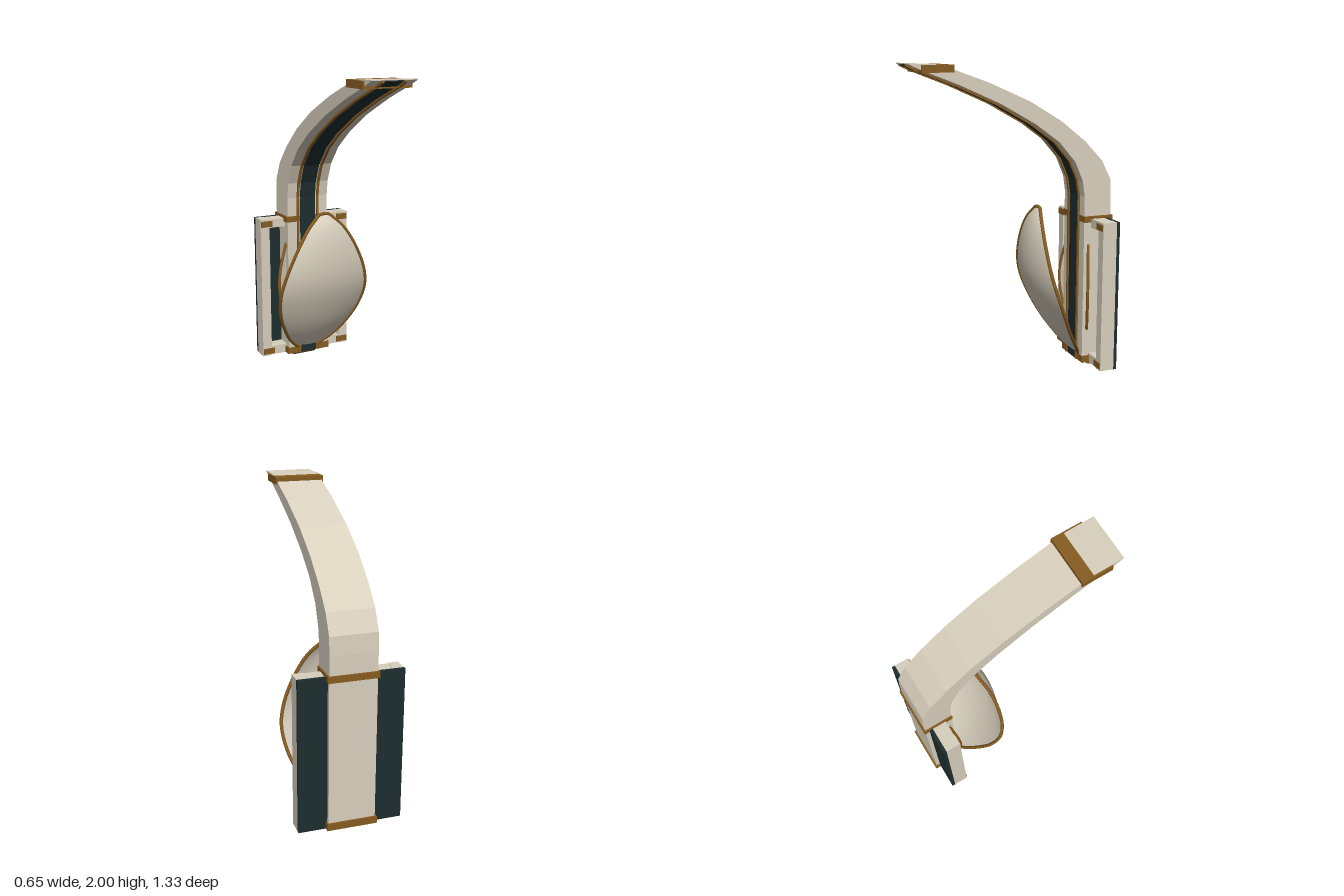
import * as THREE from 'three';

const mat = (name, color) => Object.assign(new THREE.MeshStandardMaterial({ color }), { name });

export function createModel() {
  const cream = mat('cream', 0xd9d0be);
  const brown = mat('bronze brown', 0x875c22);
  const dark = mat('dark teal', 0x1e2e30);
  const shellCream = mat('shell cream', 0xd9d0be);
  shellCream.side = THREE.DoubleSide;

  const model = new THREE.Group();
  model.name = 'model';
  const add = (name, geometry, material) => {
    const mesh = new THREE.Mesh(geometry, material);
    mesh.name = name;
    model.add(mesh);
    return mesh;
  };
  // Box given by its limits on each axis
  const box = (name, material, x0, x1, y0, y1, z0, z1) => {
    const m = add(name, new THREE.BoxGeometry(x1 - x0, y1 - y0, z1 - z0), material);
    m.position.set((x0 + x1) / 2, (y0 + y1) / 2, (z0 + z1) / 2);
  };
  // Side outline of [z, y] points extruded across x
  const sideExtrude = (name, material, points, x0, x1) => {
    const shape = new THREE.Shape(points.map(([z, y]) => new THREE.Vector2(z, y)));
    const g = new THREE.ExtrudeGeometry(shape, { depth: x1 - x0, bevelEnabled: false });
    g.rotateY(-Math.PI / 2).translate(x1, 0, 0);
    add(name, g, material);
  };

  // Curved spine: inner (front) and outer (back) edges, bottom to tip
  const inner = [[-0.47, 0.05], [-0.47, 1.16], [-0.455, 1.26], [-0.4, 1.386], [-0.29, 1.513],
    [-0.13, 1.63], [0.095, 1.757], [0.355, 1.873], [0.59, 1.963], [0.658, 1.994]];
  const outer = [[-0.656, 0.05], [-0.656, 1.15], [-0.65, 1.264], [-0.588, 1.386], [-0.47, 1.51],
    [-0.307, 1.64], [-0.095, 1.767], [0.17, 1.884], [0.4, 1.967], [0.47, 1.992], [0.658, 1.999]];
  sideExtrude('spine', cream, [...inner, ...outer.slice().reverse()], -0.147, 0.147);

  // Inlay and trim follow the inner edge, slightly proud of it
  const ribbon = (name, material, thickness, x0, x1) => {
    const proud = inner.map(([z, y], i) => {
      const a = inner[Math.max(0, i - 1)], b = inner[Math.min(inner.length - 1, i + 1)];
      const dz = b[0] - a[0], dy = b[1] - a[1], l = Math.hypot(dz, dy);
      return [z + (dy / l) * thickness, y - (dz / l) * thickness];
    });
    sideExtrude(name, material, [...proud, ...inner.slice().reverse()], x0, x1);
  };
  ribbon('spineInlay', dark, 0.006, -0.055, 0.055);
  ribbon('spineTrimRight', brown, 0.012, -0.08, -0.065);
  ribbon('spineTrimLeft', brown, 0.012, 0.065, 0.08);

  // Bands around the spine
  box('lowerBand', brown, -0.157, 0.157, 0.048, 0.093, -0.667, -0.468);
  box('middleBand', brown, -0.157, 0.157, 0.992, 1.032, -0.667, -0.468);
  box('tipBand', brown, -0.157, 0.157, 1.946, 1.991, 0.39, 0.586);

  // Back frame and panel
  box('backPanel', dark, -0.326, 0.326, 0.045, 1.017, -0.63, -0.609);
  box('topRail', cream, -0.262, 0.262, 0.957, 1.015, -0.609, -0.518);
  box('bottomRail', cream, -0.262, 0.262, 0.047, 0.108, -0.609, -0.518);
  for (const s of [-1, 1]) {
    const side = s > 0 ? 'Left' : 'Right';
    const span = (a, b) => (s > 0 ? [a, b] : [-b, -a]);
    box('framePost' + side, cream, ...span(0.262, 0.326), 0.045, 1.017, -0.609, -0.514);
    box('upperTab' + side, brown, ...span(0.242, 0.322), 0.965, 1.005, -0.53, -0.508);
    box('lowerTab' + side, brown, ...span(0.242, 0.322), 0.057, 0.097, -0.53, -0.508);
  }

  // Roller under the spine
  const roller = new THREE.CylinderGeometry(0.043, 0.043, 0.16, 20).rotateZ(Math.PI / 2);
  add('roller', roller, brown).position.set(0, 0.043, -0.567);

  // Surface from a grid of points f(u, v)
  const surface = (f, nu, nv) => {
    const pos = [], idx = [];
    for (let i = 0; i <= nv; i++) {
      for (let j = 0; j <= nu; j++) {
        pos.push(...f(j / nu, i / nv));
        if (i < nv && j < nu) {
          const a = i * (nu + 1) + j, c = a + nu + 1;
          idx.push(a, a + 1, c, a + 1, c + 1, c);
        }
      }
    }
    const g = new THREE.BufferGeometry();
    g.setAttribute('position', new THREE.Float32BufferAttribute(pos, 3));
    g.setIndex(idx);
    g.computeVertexNormals();
    return g;
  };

  // Leaf-shaped front shell: half width, height and depth of its rim
  const rim = new THREE.CatmullRomCurve3([[0.07, 0.08, -0.485], [0.16, 0.167, -0.42],
    [0.235, 0.284, -0.345], [0.29, 0.416, -0.28], [0.31, 0.565, -0.22], [0.283, 0.697, -0.187],
    [0.21, 0.866, -0.175], [0.125, 1.0, -0.185], [0.035, 1.085, -0.21],
  ].map((p) => new THREE.Vector3(...p)));
  add('shell', surface((u, v) => {
    const p = rim.getPoint(v), s = u * 2 - 1;
    const bulge = 0.058 * Math.pow(Math.max(0, Math.sin(Math.PI * v)), 0.8);
    return [p.x * s, p.y, p.z + bulge * (1 - s * s)];
  }, 24, 32), shellCream);
  const half = rim.getPoints(32);
  const loop = [...half, ...half.map((p) => new THREE.Vector3(-p.x, p.y, p.z)).reverse()];
  add('shellRim', new THREE.TubeGeometry(new THREE.CatmullRomCurve3(loop, true), 128, 0.011, 8, true), brown);

  // Small curved wings beside the spine
  for (const s of [-1, 1]) {
    const side = s > 0 ? 'Left' : 'Right';
    const edge = (v) => {
      const k = Math.sin(Math.PI * v);
      return new THREE.Vector3(s * (0.145 + 0.07 * k), 0.275 + 0.57 * v, -0.503 + 0.033 * k);
    };
    add('wing' + side, surface((u, v) => {
      const e = edge(v);
      return [s * 0.14 + (e.x - s * 0.14) * u, e.y, -0.508 + (e.z + 0.508) * u];
    }, 4, 20), shellCream);
    const pts = Array.from({ length: 13 }, (_, i) => edge(i / 12));
    add('wingRim' + side, new THREE.TubeGeometry(new THREE.CatmullRomCurve3(pts), 32, 0.01, 8), brown);
  }
  return model;
}
